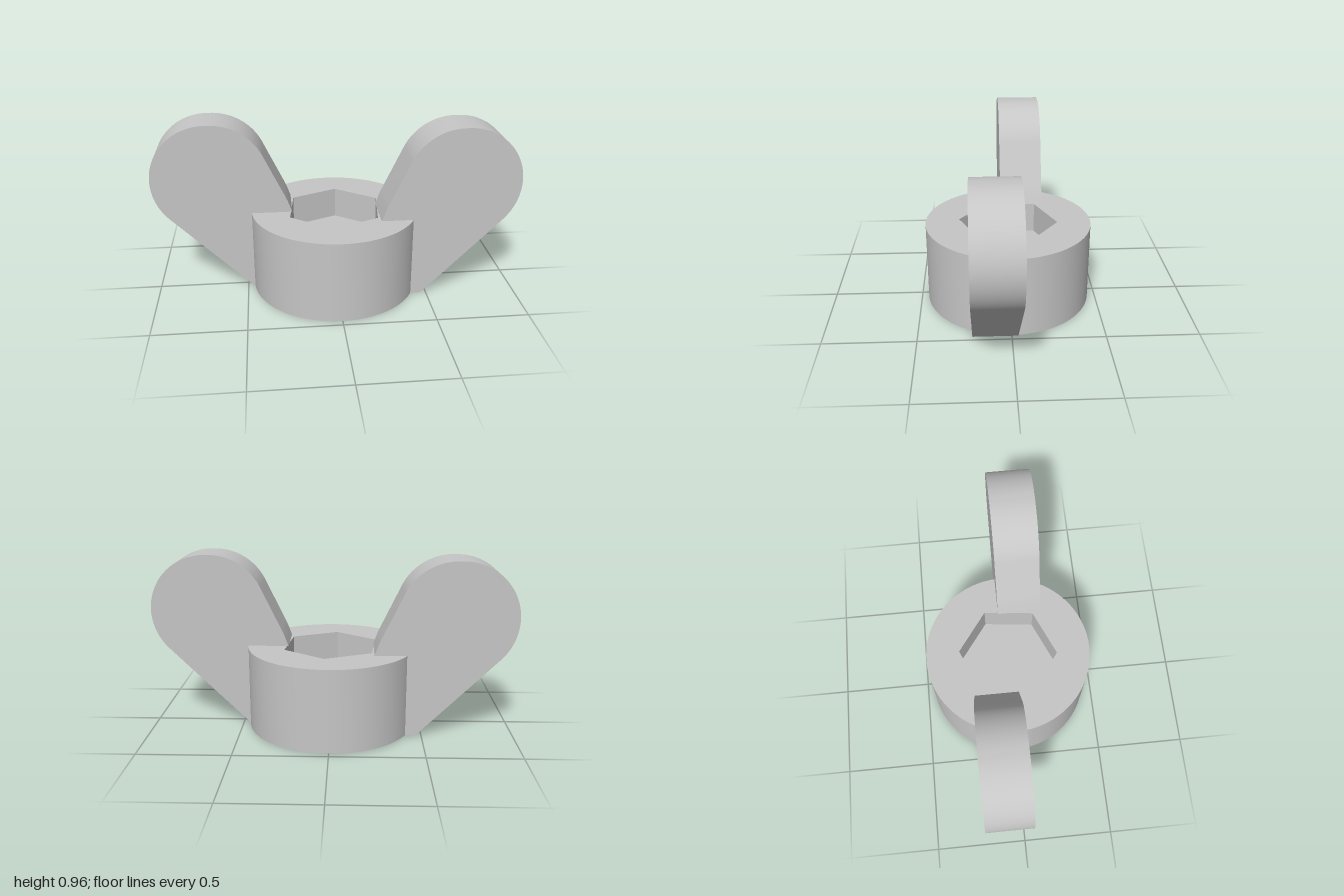
import * as THREE from 'three';
import { toCreasedNormals } from 'three/addons/utils/BufferGeometryUtils.js';

const R = 0.463, H = 0.455;            // round hub
const HEX_R = 0.277, HEX_TURN = -0.11; // hexagonal pocket
const FLOOR = 0.28, HOLE_R = 0.148;    // pocket floor and bolt hole

export function createModel() {
  const group = new THREE.Group();
  group.name = 'wingNut';
  const grey = new THREE.MeshStandardMaterial({ color: 0xc6c6c6 });
  grey.name = 'grey';

  const add = (name, geometry) => {
    const mesh = new THREE.Mesh(geometry, grey);
    mesh.name = name;
    group.add(mesh);
    return mesh;
  };
  const lathe = (points, segments, start = 0) => toCreasedNormals(
    new THREE.LatheGeometry(points.map(([x, y]) => new THREE.Vector2(x, y)), segments, start), 0.5);

  // Hub wall and underside, with the blind bolt hole
  add('hub', lathe([[0, FLOOR - 0.02], [HOLE_R, FLOOR - 0.02], [HOLE_R, 0], [R, 0], [R, H]], 96));

  // Pocket walls and floor
  add('hexPocket', lathe([[HEX_R, H], [HEX_R, FLOOR], [0, FLOOR]], 6, HEX_TURN));

  // Hub top with hexagonal opening
  const ring = new THREE.Shape();
  ring.absarc(0, 0, R, 0, Math.PI * 2);
  const hex = [];
  for (let i = 0; i < 6; i++) {
    const a = HEX_TURN + i * Math.PI / 3;
    hex.push(new THREE.Vector2(HEX_R * Math.sin(a), -HEX_R * Math.cos(a)));
  }
  ring.holes.push(new THREE.Path(hex));
  const top = new THREE.ShapeGeometry(ring, 48);
  top.rotateX(-Math.PI / 2).translate(0, H, 0);
  add('hubTop', top);

  // Wing outline: straight flanks running tangent into a rounded lobe
  const wing = new THREE.Shape();
  wing.moveTo(0.3, 0);
  wing.lineTo(0.47, 0);
  wing.absarc(0.69, 0.655, 0.31, -Math.PI / 4, Math.PI / 2);
  wing.absarc(0.67, 0.655, 0.31, Math.PI / 2, Math.PI - 0.43);
  wing.lineTo(0.278, 0.555);
  wing.lineTo(0.262, 0.52);
  wing.lineTo(0.238, H);
  wing.lineTo(0.3, H - 0.005);
  wing.closePath();
  const wingGeometry = toCreasedNormals(
    new THREE.ExtrudeGeometry(wing, { depth: 0.245, bevelEnabled: false, curveSegments: 32 }), 0.5);
  wingGeometry.translate(0, 0, -0.035);

  // Two wings, offset to opposite sides by a half turn
  add('leftWing', wingGeometry);
  add('rightWing', wingGeometry).rotation.y = Math.PI;

  return group;
}
